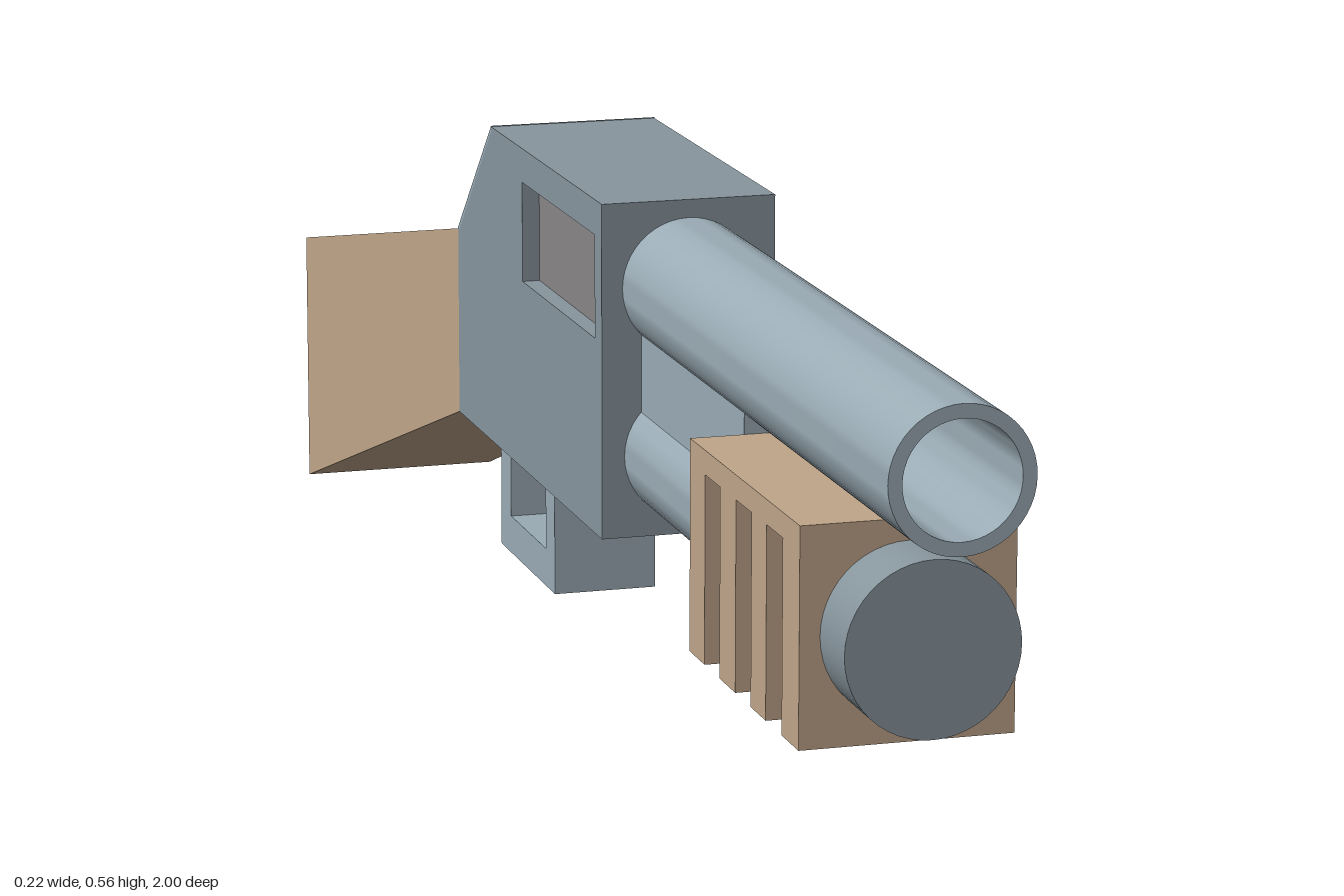
import * as THREE from 'three';
import { toCreasedNormals } from 'three/addons/utils/BufferGeometryUtils.js';

const mat = (color) => new THREE.MeshStandardMaterial({ color });

export function createModel() {
  const model = new THREE.Group();
  const darkSteel = mat(0x87959d), steel = mat(0x9aabb5), grey = mat(0x888686);
  const wood = mat(0xbfa589), paleWood = mat(0xcfbb98);

  const add = (name, geometry, material) => {
    const mesh = new THREE.Mesh(geometry, material);
    mesh.name = name;
    model.add(mesh);
    return mesh;
  };
  // Box given by its lower and upper corners
  const box = (name, a, b, material) => {
    const g = new THREE.BoxGeometry(b[0] - a[0], b[1] - a[1], b[2] - a[2]);
    g.translate((a[0] + b[0]) / 2, (a[1] + b[1]) / 2, (a[2] + b[2]) / 2);
    return add(name, g, material);
  };
  // Side profile of [z, y] points, extruded across x from x0 to x1
  const points = (list) => list.map(([z, y]) => new THREE.Vector2(z, y));
  const slab = (name, outline, x0, x1, material, hole) => {
    const shape = new THREE.Shape(points(outline));
    if (hole) shape.holes.push(new THREE.Path(points(hole)));
    const g = new THREE.ExtrudeGeometry(shape, { depth: x1 - x0, bevelEnabled: false });
    g.rotateY(-Math.PI / 2).translate(x1, 0, 0);
    return add(name, g, material);
  };
  // Turned part along z from [radius, z] points
  const turned = (name, profile, y, material) => {
    const g = toCreasedNormals(new THREE.LatheGeometry(points(profile), 48), 0.6);
    g.rotateX(Math.PI / 2).translate(0, y, 0);
    return add(name, g, material);
  };

  // Receiver: solid body plus a side plate cut by the ejection port
  const body = [[-0.37, 0.22], [0.19, 0.22], [0.19, 0.555], [-0.23, 0.555], [-0.37, 0.42]];
  const port = [[-0.107, 0.417], [-0.107, 0.52], [0.165, 0.52], [0.165, 0.417]];
  slab('receiver', body, -0.068, 0.088, darkSteel);
  slab('receiverPortSide', body, -0.088, -0.068, darkSteel, port);
  slab('ejectionPort', port, -0.07, -0.067, grey);
  slab('receiverSlope', [[-0.37, 0.42], [-0.365, 0.42], [-0.23, 0.55], [-0.23, 0.556], [-0.371, 0.421]],
    -0.088, 0.088, steel);

  // Barrel with an open bore
  turned('barrel', [[0.067, 0.18], [0.067, 1], [0.054, 1], [0.054, 0.5]], 0.47, steel);
  const boreEnd = new THREE.CircleGeometry(0.054, 48);
  boreEnd.translate(0, 0.47, 0.5);
  add('boreEnd', boreEnd, grey);

  // Magazine tube, its wider front cap, and the web joining it to the barrel
  turned('magazineTube', [[0.065, 0.18], [0.065, 0.6]], 0.302, steel);
  turned('magazineCap', [[0, 0.8], [0.081, 0.8], [0.081, 0.93], [0, 0.93]], 0.302, darkSteel);
  box('barrelWeb', [-0.048, 0.32, 0.18], [0.048, 0.45, 0.53], steel);

  // Fore grip: comb-shaped wood around a paler core
  const comb = [[0.53, 0.403], [0.53, 0.2]];
  for (const z of [0.578, 0.674, 0.766]) {
    comb.push([z, 0.2], [z, 0.38], [z + 0.047, 0.38], [z + 0.047, 0.2]);
  }
  comb.push([0.862, 0.2], [0.862, 0.403]);
  slab('foreGrip', comb, -0.1, 0.1, wood);
  box('foreGripCore', [-0.083, 0.217, 0.55], [0.083, 0.385, 0.84], paleWood);

  // Trigger guard
  slab('triggerGuard', [[-0.325, 0.225], [-0.325, 0.083], [-0.11, 0.083], [-0.11, 0.225],
    [-0.145, 0.225], [-0.145, 0.123], [-0.285, 0.123], [-0.285, 0.225]], -0.054, 0.054, steel);

  // Stock: a box that widens and drops towards the butt
  const stock = new THREE.BoxGeometry(1, 1, 1);
  const p = stock.attributes.position;
  for (let i = 0; i < p.count; i++) {
    const back = p.getZ(i) < 0, top = p.getY(i) > 0;
    const x = Math.sign(p.getX(i)) * (back ? 0.11 : 0.088);
    const y = back ? (top ? 0.285 : 0) : (top ? 0.42 : 0.22);
    p.setXYZ(i, x, y, back ? -1 : -0.37);
  }
  stock.computeVertexNormals();
  add('stock', stock, wood);

  return model;
}
